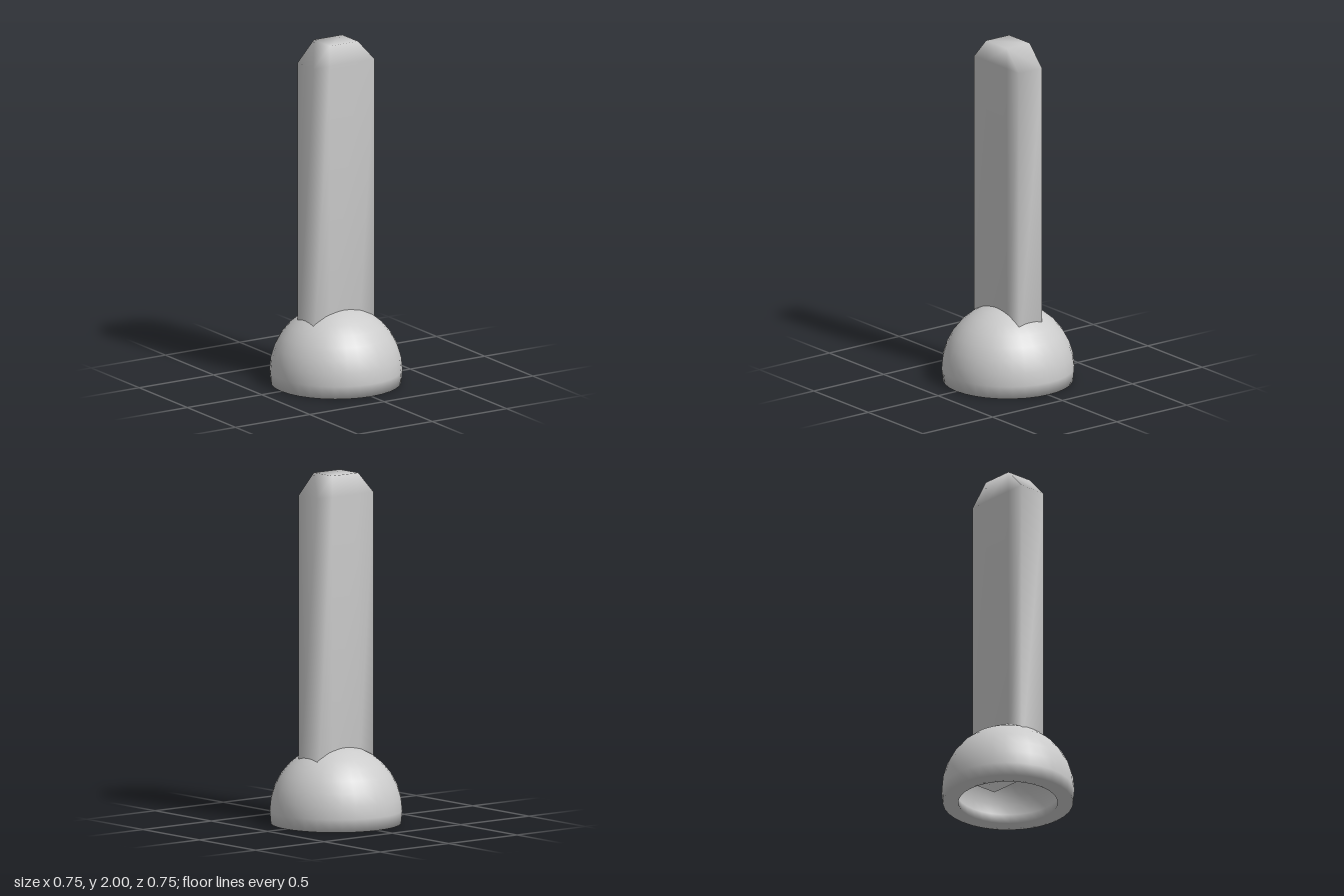
import * as THREE from 'three';
import { mergeVertices } from 'three/addons/utils/BufferGeometryUtils.js';

const material = new THREE.MeshStandardMaterial({ color: 0xcccccc });
const CENTRE_Y = 0.073;

// Points along a circular arc in the lathe plane, from angle a to angle b
function arc(radius, a, b, steps) {
  return Array.from({ length: steps + 1 }, (_, i) => {
    const t = a + ((b - a) * i) / steps;
    return new THREE.Vector2(
      Math.max(0, radius * Math.cos(t)),
      CENTRE_Y + radius * Math.sin(t)
    );
  });
}

// Hollow domed foot: inner dome down to the rim, then the outer dome up
function makeFoot() {
  const outer = 0.376, inner = 0.29;
  const profile = [
    ...arc(inner, Math.PI / 2, -Math.asin(CENTRE_Y / inner), 9),
    ...arc(outer, -Math.asin(CENTRE_Y / outer), Math.PI / 2, 9),
  ];
  return new THREE.LatheGeometry(profile, 32);
}

// Flat upright bar with both top corners cut off, softly shaded
function makeBar() {
  const halfWidth = 0.206, tipHalf = 0.095;
  const bottom = 0.16, shoulder = 1.88, top = 2;
  const box = new THREE.BoxGeometry(3, 2, 0.165, 3, 2, 1);
  const p = box.attributes.position;
  for (let i = 0; i < p.count; i++) {
    const x = p.getX(i), y = p.getY(i);
    const isEdge = Math.abs(x) > 1;
    p.setX(i, Math.sign(x) * (isEdge ? halfWidth : tipHalf));
    p.setY(i, y < -0.5 ? bottom : y > 0.5 && !isEdge ? top : shoulder);
  }
  box.deleteAttribute('normal');
  box.deleteAttribute('uv');
  const smooth = mergeVertices(box);
  smooth.computeVertexNormals();
  return smooth;
}

export function createModel() {
  const model = new THREE.Group();
  model.name = 'domedPeg';
  for (const [name, geometry] of [['domedFoot', makeFoot()], ['bar', makeBar()]]) {
    const mesh = new THREE.Mesh(geometry, material);
    mesh.name = name;
    model.add(mesh);
  }
  return model;
}
